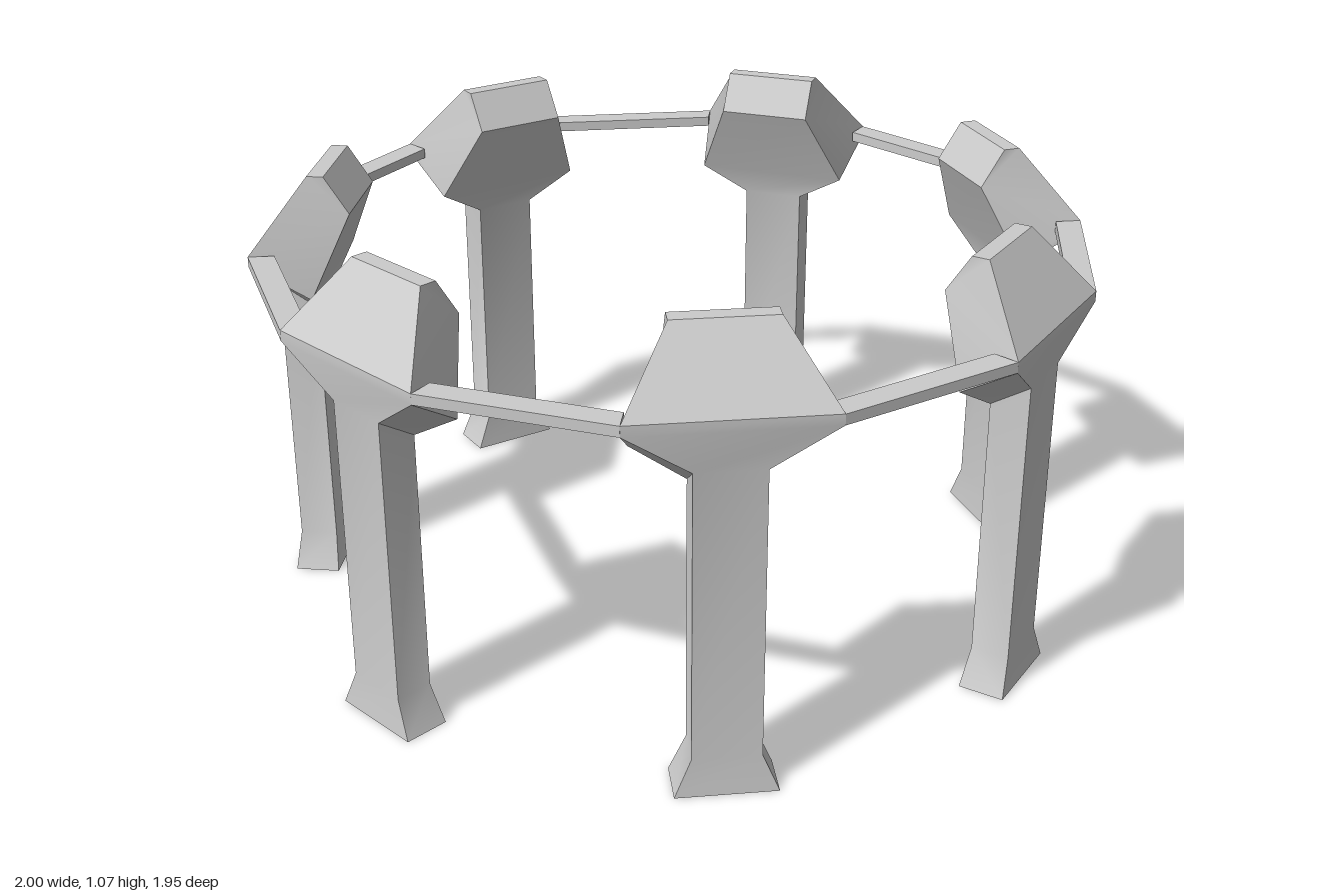
import * as THREE from 'three';
import { toCreasedNormals } from 'three/addons/utils/BufferGeometryUtils.js';

const COUNT = 7;
const material = new THREE.MeshStandardMaterial({ color: 0xcccccc });

// Pillar cross-sections from foot to crown:
// [half width, y, z] of the outer edge, then of the inner edge
const SECTIONS = [
  [[0.115, 0, 0.962], [0.115, 0, 0.853]],          // foot
  [[0.077, 0.09, 0.953], [0.077, 0.09, 0.862]],    // shaft bottom
  [[0.077, 0.78, 0.953], [0.077, 0.72, 0.862]],    // shaft top
  [[0.2225, 0.88, 0.975], [0.195, 0.79, 0.838]],   // flare
  [[0.2225, 0.905, 0.975], [0.195, 0.79, 0.838]],  // rim band
  [[0.115, 1.07, 0.852], [0.115, 0.98, 0.755]],    // crown bulge
  [[0.115, 1.07, 0.852], [0.115, 1.07, 0.812]],    // crown ridge
];

function pillarGeometry() {
  const rings = SECTIONS.map(([o, i]) => [
    new THREE.Vector3(...o),
    new THREE.Vector3(...i),
    new THREE.Vector3(-i[0], i[1], i[2]),
    new THREE.Vector3(-o[0], o[1], o[2]),
  ]);
  const pos = [];
  const tri = (a, b, c) => {
    if (a.equals(b) || b.equals(c) || c.equals(a)) return;
    for (const p of [a, b, c]) pos.push(p.x, p.y, p.z);
  };
  for (let s = 0; s < rings.length - 1; s++) {
    for (let i = 0; i < 4; i++) {
      const j = (i + 1) % 4;
      const a = rings[s][i], b = rings[s][j], c = rings[s + 1][j], d = rings[s + 1][i];
      // the left side mirrors the right side's diagonal
      if (i === 2) { tri(a, b, d); tri(b, c, d); }
      else { tri(a, b, c); tri(a, c, d); }
    }
  }
  // end caps
  const [b0, b1, b2, b3] = rings[0];
  tri(b0, b2, b1); tri(b0, b3, b2);
  const [t0, t1, t2, t3] = rings[rings.length - 1];
  tri(t0, t1, t2); tri(t0, t2, t3);

  const geometry = new THREE.BufferGeometry();
  geometry.setAttribute('position', new THREE.Float32BufferAttribute(pos, 3));
  return toCreasedNormals(geometry, 0.5);
}

// Straight bar with mitred ends, one side of the fourteen-sided rim
function barGeometry() {
  const shape = new THREE.Shape([
    new THREE.Vector2(-0.209, 0.915),
    new THREE.Vector2(0.209, 0.915),
    new THREE.Vector2(0.2225, 0.975),
    new THREE.Vector2(-0.2225, 0.975),
  ]);
  return new THREE.ExtrudeGeometry(shape, { depth: 0.025, bevelEnabled: false })
    .rotateX(Math.PI / 2)
    .translate(0, 0.905, 0);
}

export function createModel() {
  const model = new THREE.Group();
  model.name = 'pillarRing';
  const pillar = pillarGeometry();
  const bar = barGeometry();
  const add = (name, geometry, angle) => {
    const mesh = new THREE.Mesh(geometry, material);
    mesh.name = name;
    mesh.rotation.y = angle;
    model.add(mesh);
  };
  // pillars alternate with rim bars around the circle
  for (let k = 0; k < COUNT; k++) {
    const angle = (k * 2 * Math.PI) / COUNT;
    add(`pillar${k + 1}`, pillar, angle);
    add(`rimBar${k + 1}`, bar, angle + Math.PI / COUNT);
  }
  return model;
}
